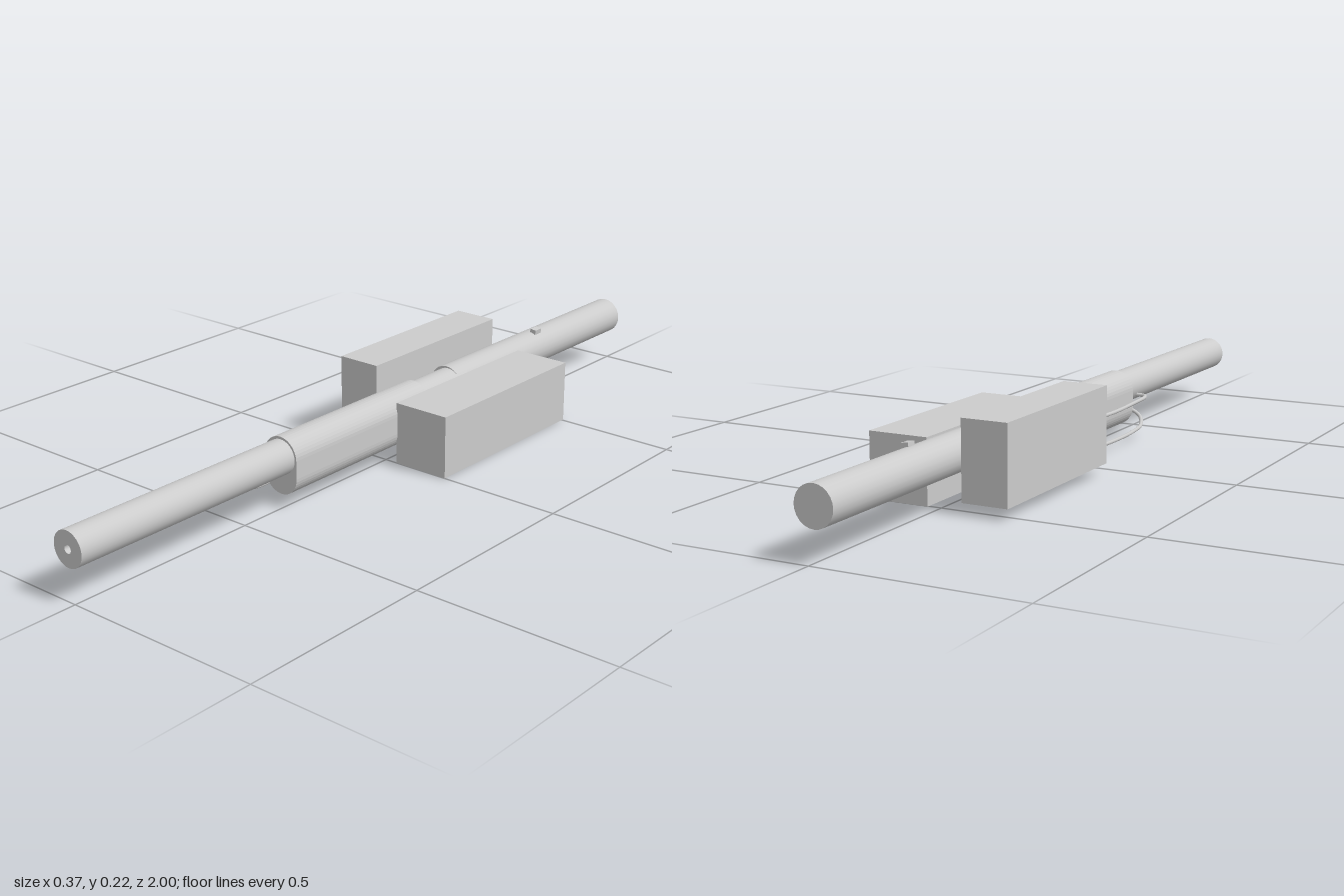
import * as THREE from 'three';

const material = new THREE.MeshStandardMaterial({ color: 0xcccccc });

export function createModel() {
  const model = new THREE.Group();

  function add(name, geometry, x = 0, y = 0, z = 0) {
    const mesh = new THREE.Mesh(geometry, material);
    mesh.name = name;
    mesh.position.set(x, y, z);
    model.add(mesh);
    return mesh;
  }

  // Box given by its lower and upper corners
  function addBox(name, a, b) {
    const size = a.map((v, i) => b[i] - v);
    return add(name, new THREE.BoxGeometry(...size), ...a.map((v, i) => (v + b[i]) / 2));
  }

  // Wire of round section through a few points
  function addWire(name, points) {
    const curve = new THREE.CatmullRomCurve3(points.map(p => new THREE.Vector3(...p)));
    add(name, new THREE.TubeGeometry(curve, 64, 0.005, 8));
  }

  // Front tube with a small blind bore, running back into the rear tube
  const profile = [[0, -0.3], [0.043, -0.3], [0.043, 1], [0.01, 1], [0.01, 0.9], [0, 0.9]];
  // doubled points keep the rims sharp
  const sharp = profile.flatMap(([r, z]) => [new THREE.Vector2(r, z), new THREE.Vector2(r, z)]);
  const front = new THREE.LatheGeometry(sharp, 32);
  front.rotateX(Math.PI / 2);
  add('frontTube', front, -0.011, 0.123, 0);

  // Rear tube, closed at both ends
  const rear = new THREE.CylinderGeometry(0.047, 0.047, 0.74, 24);
  rear.rotateX(Math.PI / 2);
  add('rearTube', rear, -0.016, 0.123, -0.63);

  // Oblong housing around the middle of the tube
  const r = 0.049;
  const oblong = new THREE.Shape();
  oblong.absarc(0, 0.123, r, 0, Math.PI, false);
  oblong.absarc(0, 0.078, r, Math.PI, Math.PI * 2, false);
  oblong.closePath();
  add('housing', new THREE.ExtrudeGeometry(oblong, {
    depth: 0.485, bevelEnabled: false, curveSegments: 10,
  }), -0.012, 0, -0.12);

  // Side boxes and the small block joining one to the tube
  addBox('rightBox', [-0.185, 0.027, -0.53], [-0.07, 0.217, -0.047]);
  addBox('leftBox', [0.033, 0, -0.505], [0.184, 0.158, 0]);
  addBox('connectorBlock', [-0.072, 0.095, -0.41], [-0.045, 0.138, -0.18]);

  // Small tilted stud on the rear tube
  const stud = addBox('topStud', [-0.011, 0.16, -0.648], [0.006, 0.178, -0.622]);
  stud.rotation.z = -0.12;

  // Two wires from the front of the housing to the right box
  addWire('upperWire', [
    [-0.045, 0.102, 0.415], [-0.07, 0.101, 0.415], [-0.079, 0.1, 0.4], [-0.08, 0.097, 0.34],
    [-0.08, 0.094, 0.2], [-0.08, 0.102, 0.06], [-0.08, 0.118, -0.06],
  ]);
  addWire('lowerWire', [
    [-0.034, 0.07, 0.36], [-0.042, 0.065, 0.395], [-0.062, 0.048, 0.405], [-0.08, 0.032, 0.375],
    [-0.088, 0.026, 0.31], [-0.088, 0.024, 0.18], [-0.088, 0.031, 0.06], [-0.088, 0.048, -0.06],
  ]);

  return model;
}
